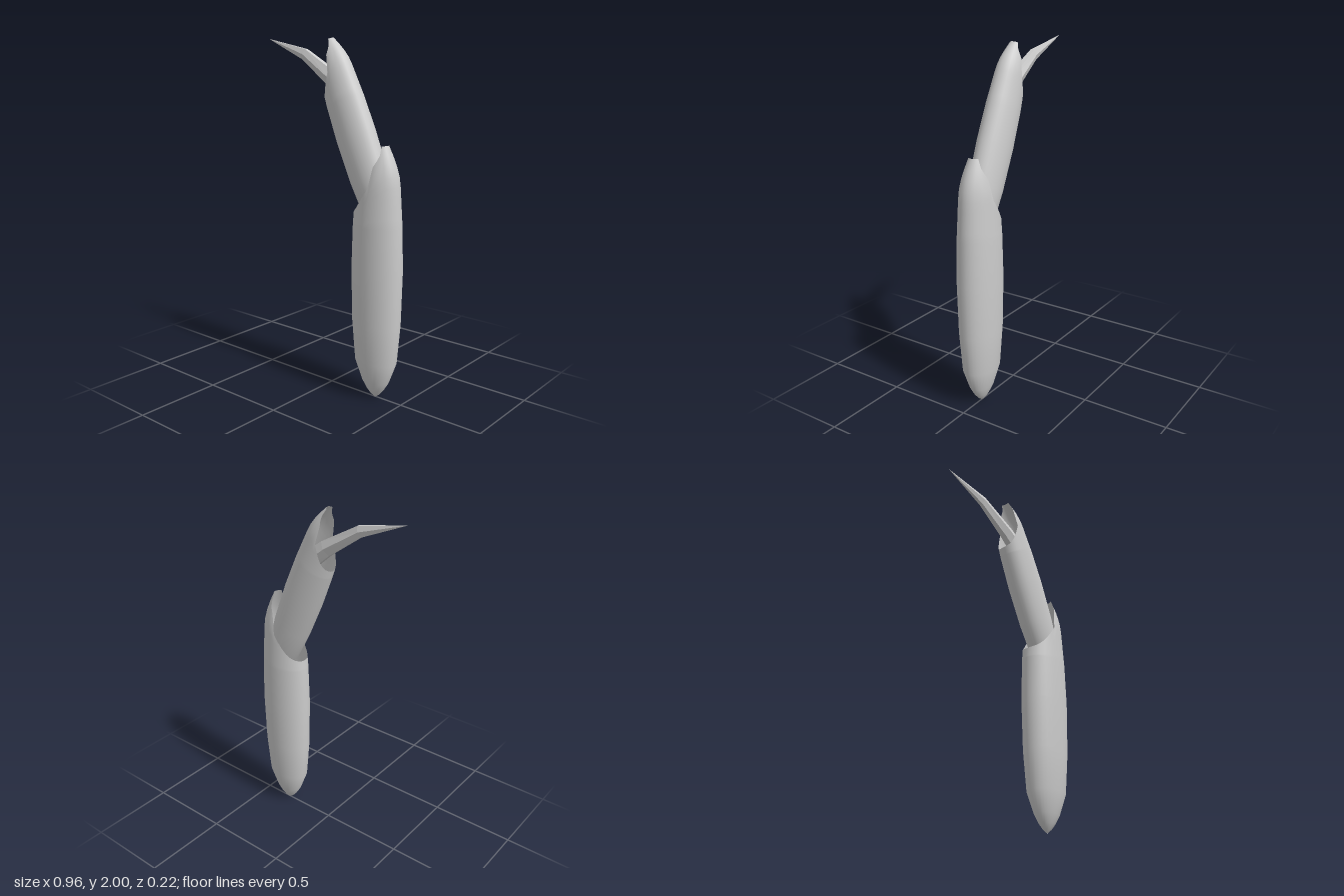
import * as THREE from 'three';

// Shell outline: [height, radius]
const PROFILE = [[0, 0.004], [0.02, 0.03], [0.05, 0.055], [0.1, 0.085], [0.22, 0.13], [0.45, 0.15],
  [0.75, 0.157], [1.0, 0.15], [1.07, 0.145], [1.26, 0.132], [1.35, 0.106], [1.44, 0.063]];
// Slanted opening: [cosine of the angle around the shell, rim height]
const RIM = [[-1, 1.06], [-0.85, 1.07], [-0.6, 1.1], [0, 1.215], [0.18, 1.33], [0.55, 1.39], [0.66, 1.44], [1, 1.44]];
const DEPTH = 0.7; // shells are oval, narrower along z

function lookUp(table, v) {
  for (let i = 1; i < table.length; i++) {
    const [a, fa] = table[i - 1], [b, fb] = table[i];
    if (v <= b) return THREE.MathUtils.mapLinear(Math.max(v, a), a, b, fa, fb);
  }
  return table[table.length - 1][1];
}

// Skin a closed loop of columns over rows; point(row, angle) returns [x, y, z]
function loft(rows, sides, offset, point) {
  const positions = [], index = [];
  for (let i = 0; i < rows; i++) {
    for (let j = 0; j < sides; j++) {
      positions.push(...point(i, offset + (j / sides) * Math.PI * 2));
      if (i === rows - 1) continue;
      const a = i * sides + j, b = i * sides + (j + 1) % sides;
      index.push(a, a + sides, b, b, a + sides, b + sides);
    }
  }
  const geometry = new THREE.BufferGeometry();
  geometry.setAttribute('position', new THREE.Float32BufferAttribute(positions, 3));
  geometry.setIndex(index);
  geometry.computeVertexNormals();
  return geometry;
}

// Open oval shell with a pointed base and a rim rising towards +x
function shellGeometry() {
  const lower = PROFILE.map(p => p[0]).filter(y => y <= 1);
  const upperSteps = 8;
  return loft(lower.length + upperSteps, 32, 0, (i, angle) => {
    const c = Math.cos(angle);
    const k = (i - lower.length + 1) / upperSteps;
    const y = i < lower.length ? lower[i] : THREE.MathUtils.lerp(1, lookUp(RIM, c), k);
    const r = lookUp(PROFILE, y);
    return [r * c, y, r * DEPTH * Math.sin(angle)];
  });
}

// Bent six-sided spike: [x, y, half height, half width], base to tip
function clawGeometry() {
  const sections = [[0.12, 1.69, 0, 0], [0.12, 1.69, 0.056, 0.045], [0.01, 1.78, 0.05, 0.038],
    [-0.2, 1.913, 0.035, 0.023], [-0.48, 2.0, 0, 0]];
  return loft(sections.length, 6, Math.PI / 6, (i, angle) => {
    const [x, y, h, w] = sections[i];
    const a = sections[Math.max(i - 1, 0)], b = sections[Math.min(i + 1, sections.length - 1)];
    const d = new THREE.Vector2(b[0] - a[0], b[1] - a[1]).normalize();
    const up = h * Math.cos(angle);
    return [x + d.y * up, y - d.x * up, w * Math.sin(angle)];
  });
}

export function createModel() {
  const group = new THREE.Group();
  group.name = 'clawedFinger';
  const smooth = new THREE.MeshStandardMaterial({ color: 0xcccccc, side: THREE.DoubleSide });
  const faceted = new THREE.MeshStandardMaterial({ color: 0xcccccc, side: THREE.DoubleSide, flatShading: true });
  const shell = shellGeometry();

  // Lower segment stands upright
  const lower = new THREE.Mesh(shell, smooth);
  lower.name = 'lowerSegment';
  lower.position.set(0.323, 0, 0);

  // Upper segment is the same shell, smaller, leaning out of the lower one
  const upper = new THREE.Mesh(shell, smooth);
  upper.name = 'upperSegment';
  upper.scale.setScalar(0.79);
  upper.rotation.z = THREE.MathUtils.degToRad(22.7);
  upper.position.set(0.4, 0.932, 0);

  // Claw emerges from the upper opening
  const claw = new THREE.Mesh(clawGeometry(), faceted);
  claw.name = 'claw';

  group.add(lower, upper, claw);
  return group;
}
